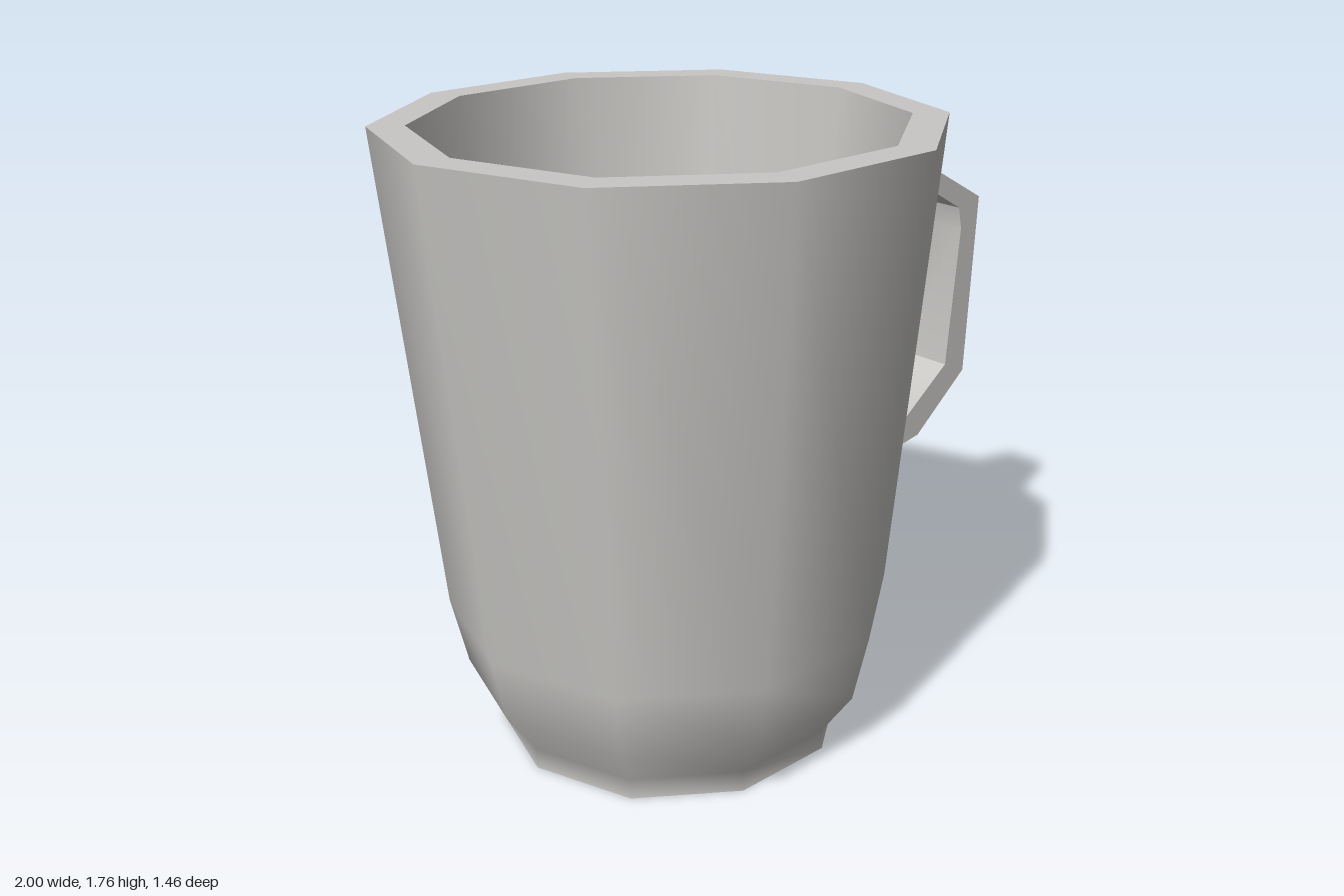
import * as THREE from 'three';
import { toCreasedNormals } from 'three/addons/utils/BufferGeometryUtils.js';

const SIDES = 10;
const CENTRE_X = -0.235;

const toVectors = (pairs) => pairs.map(([x, y]) => new THREE.Vector2(x, y));

export function createModel() {
  const group = new THREE.Group();
  group.name = 'mug';

  const ceramic = new THREE.MeshStandardMaterial({ color: 0xc8c7c4 });
  ceramic.name = 'grey ceramic';

  // Cup: ten-sided lathes, one per smooth zone so the rim and base stay sharp
  const cup = new THREE.Group();
  cup.name = 'cup';
  cup.position.x = CENTRE_X;
  group.add(cup);

  const zones = {
    base: [[0, 0], [0.5, 0]],
    outerWall: [[0.5, 0], [0.5, 0.06], [0.59, 0.19], [0.635, 0.39], [0.765, 1.76]],
    rim: [[0.765, 1.76], [0.665, 1.76]],
    innerWall: [[0.665, 1.76], [0.545, 0.4], [0.505, 0.23], [0.445, 0.14]],
    floor: [[0.445, 0.14], [0, 0.14]],
  };
  for (const [name, profile] of Object.entries(zones)) {
    const geometry = new THREE.LatheGeometry(toVectors(profile), SIDES, Math.PI / 2);
    const mesh = new THREE.Mesh(geometry, ceramic);
    mesh.name = name;
    cup.add(mesh);
  }

  // Handle: faceted loop whose ends sink into the wall
  const outline = [
    [0.44, 1.415], [0.48, 1.435], [0.595, 1.5], [0.76, 1.49], [0.995, 1.36],
    [0.96, 0.79], [0.75, 0.62], [0.515, 0.58], [0.395, 0.605], [0.37, 0.61],
    [0.37, 0.705], [0.4, 0.7], [0.515, 0.68], [0.695, 0.7], [0.87, 0.83],
    [0.915, 1.27], [0.9, 1.34], [0.75, 1.425], [0.61, 1.43], [0.475, 1.365], [0.44, 1.35],
  ];
  const width = 0.165;
  const loop = new THREE.ExtrudeGeometry(new THREE.Shape(toVectors(outline)), {
    depth: width,
    bevelEnabled: false,
  });
  loop.translate(0, 0, -width / 2);
  const handle = new THREE.Mesh(toCreasedNormals(loop, 0.7), ceramic);
  handle.name = 'handle';
  group.add(handle);

  return group;
}
